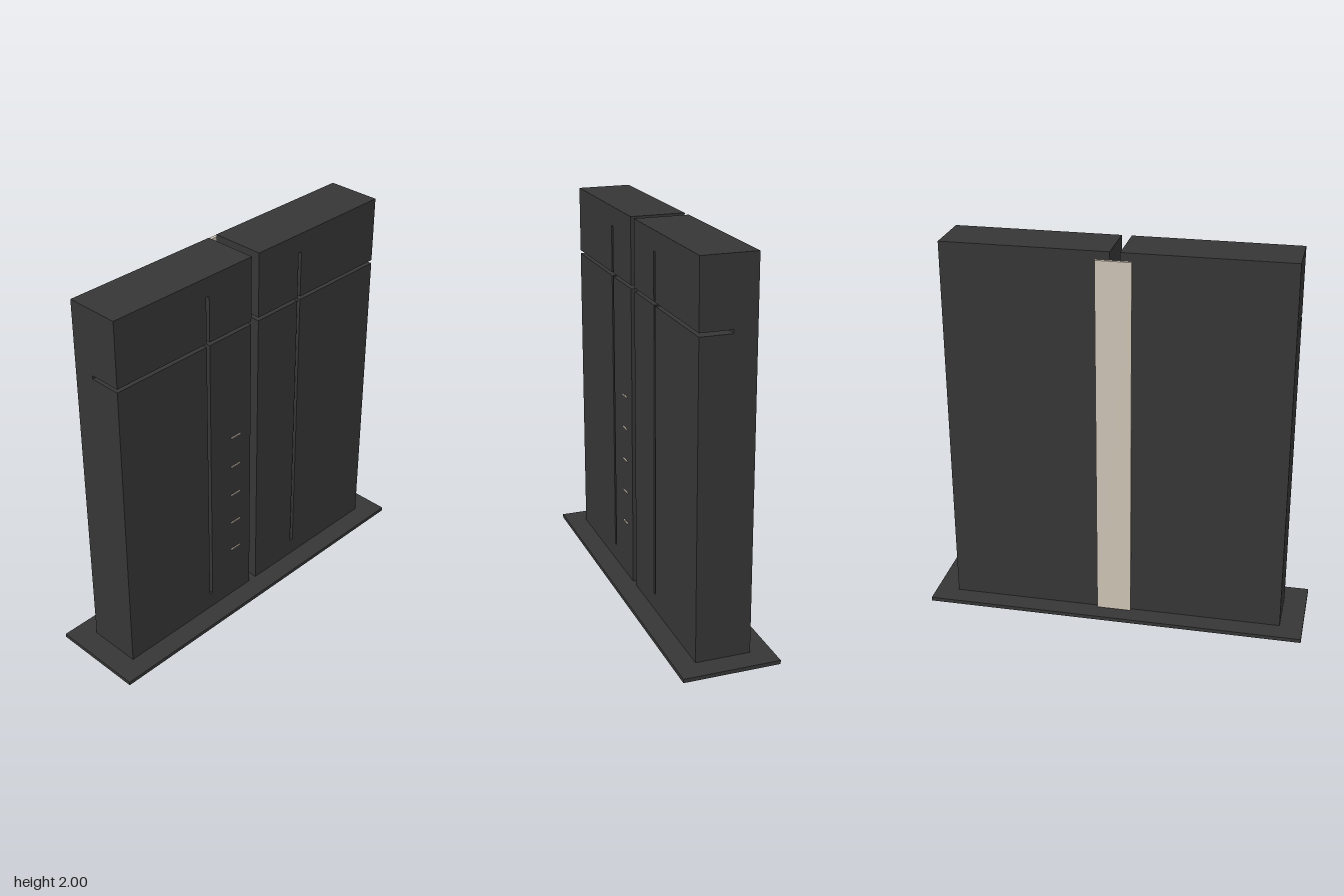
import * as THREE from 'three';

export function createModel() {
  const model = new THREE.Group();
  model.name = 'splitSlabMonument';

  const stone = new THREE.MeshStandardMaterial({ color: 0x363636 });
  stone.name = 'darkStone';
  const cream = new THREE.MeshStandardMaterial({ color: 0xcfc4b6 });
  cream.name = 'creamLight';

  const add = (parent, name, geometry, material, x = 0, y = 0, z = 0) => {
    const mesh = new THREE.Mesh(geometry, material);
    mesh.name = name;
    mesh.position.set(x, y, z);
    parent.add(mesh);
  };
  const box = (w, h, d) => new THREE.BoxGeometry(w, h, d);

  // Slab dimensions
  const inner = 0.025, outer = 0.88;
  const bottom = 0.02, top = 2;
  const half = 0.142, grooveBack = -0.025;
  const grooveLow = 1.637, grooveHigh = 1.655; // horizontal groove
  const slotIn = 0.305, slotOut = 0.325, slotLow = 0.11, slotHigh = 1.9; // vertical slot

  // Front layer with a notch, extruded forward from the groove floor
  const layer = (points) => new THREE.ExtrudeGeometry(
    new THREE.Shape(points.map(([x, y]) => new THREE.Vector2(x, y))),
    { depth: half - grooveBack, bevelEnabled: false });

  // Base plate
  add(model, 'basePlate', box(2, 0.02, 0.5), stone, 0, 0.01, 0);

  // Two mirrored slabs
  for (const [side, name] of [[1, 'leftSlab'], [-1, 'rightSlab']]) {
    const slab = new THREE.Group();
    slab.name = name;
    const a = side * inner, b = side * slotIn, c = side * slotOut, d = side * outer;
    add(slab, 'slabBack', box(outer - inner, top - bottom, grooveBack + half), stone,
      (a + d) / 2, (top + bottom) / 2, (grooveBack - half) / 2);
    add(slab, 'slabLowerFront', layer([
      [a, bottom], [d, bottom], [d, grooveLow], [c, grooveLow],
      [c, slotLow], [b, slotLow], [b, grooveLow], [a, grooveLow]]), stone, 0, 0, grooveBack);
    add(slab, 'slabUpperFront', layer([
      [a, grooveHigh], [b, grooveHigh], [b, slotHigh], [c, slotHigh],
      [c, grooveHigh], [d, grooveHigh], [d, top], [a, top]]), stone, 0, 0, grooveBack);
    model.add(slab);
  }

  // Tall strip standing behind the gap
  add(model, 'backStrip', box(0.18, 1.93, 0.018), cream, 0, 1.003, -0.178);

  // Row of small dashes on the right slab
  for (let i = 0; i < 5; i++) {
    add(model, 'dash', box(0.064, 0.007, 0.008), cream, -0.132, 0.325 + i * 0.179, half + 0.002);
  }

  return model;
}
